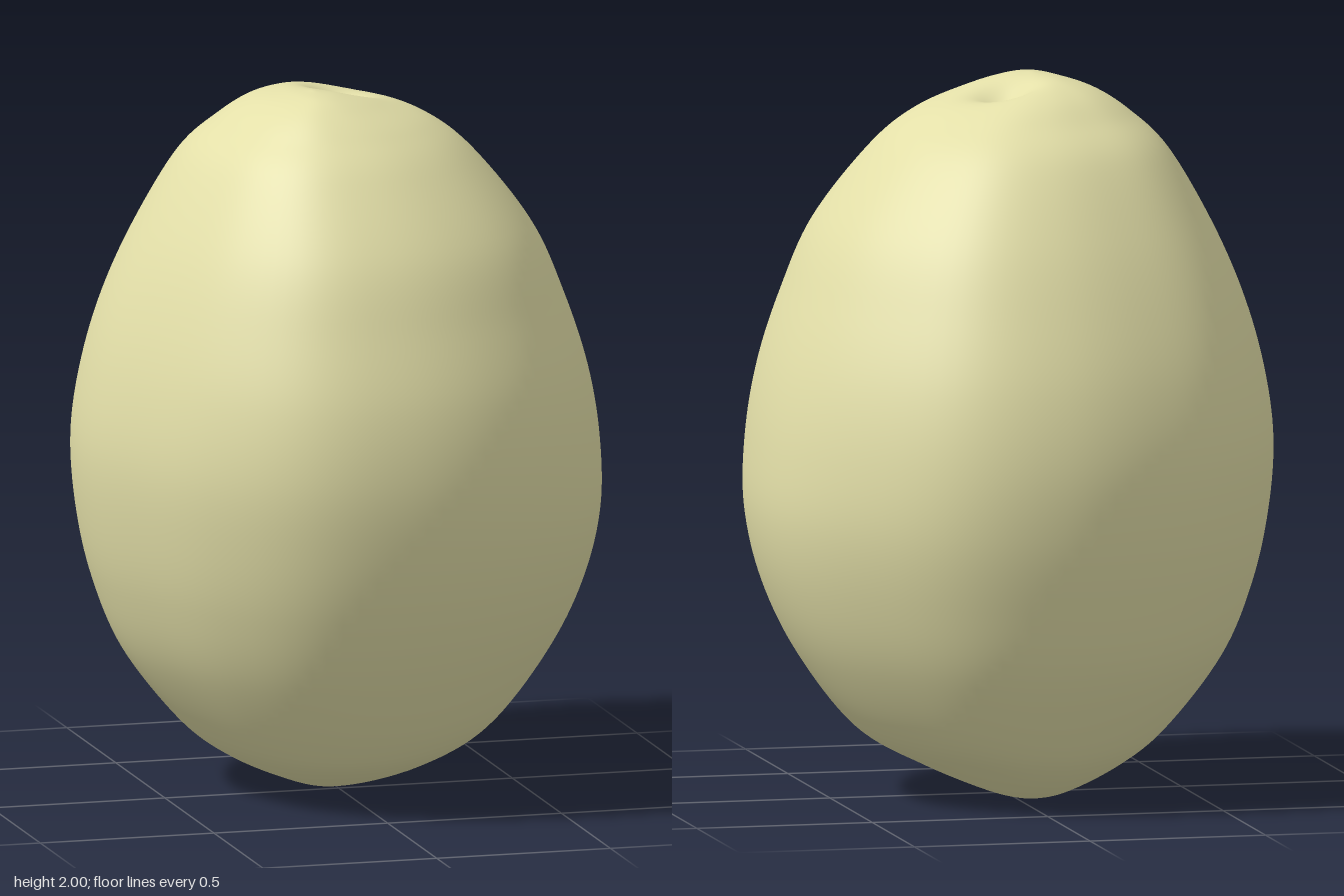
import * as THREE from 'three';

// Profile stations from base to crown: [y, xMin, xMax, zMin, zMax]
const STATIONS = [
  [0, -0.03, -0.03, -0.13, -0.13],
  [0.025, -0.14, 0.08, -0.28, 0.09],
  [0.1, -0.3, 0.26, -0.42, 0.33],
  [0.2, -0.43, 0.43, -0.515, 0.45],
  [0.4, -0.585, 0.585, -0.63, 0.58],
  [0.6, -0.67, 0.68, -0.695, 0.67],
  [0.8, -0.715, 0.725, -0.735, 0.725],
  [1.0, -0.73, 0.72, -0.742, 0.748],
  [1.2, -0.705, 0.685, -0.71, 0.73],
  [1.4, -0.65, 0.62, -0.64, 0.67],
  [1.6, -0.565, 0.53, -0.545, 0.59],
  [1.8, -0.45, 0.375, -0.41, 0.45],
  [1.9, -0.35, 0.25, -0.29, 0.35],
  [1.96, -0.26, 0.1, -0.19, 0.27],
  [1.99, -0.17, -0.02, -0.07, 0.2],
  [2.0, -0.1, -0.1, 0.1, 0.1],
];

// Gentle lumps around the body, every 22.5 degrees from +x towards +z
const LUMPS = [1, 1.003, 1.01, 1, 1, 1.018, 0.99, 0.965, 1.003, 1.02, 1.02, 0.99, 1, 1.025, 1.01, 1.02];

const curve = (points, closed = false) => new THREE.CatmullRomCurve3(points, closed, 'catmullrom', 0.5);

function fruitGeometry(rings = 120, sides = 96) {
  const xProfile = curve(STATIONS.map(([y, a, b]) => new THREE.Vector3(a, y, b)));
  const zProfile = curve(STATIONS.map(([y, , , a, b]) => new THREE.Vector3(a, y, b)));
  const lumps = curve(LUMPS.map((r) => new THREE.Vector3(r, 0, 0)), true);
  const positions = [];
  const indices = [];

  // Sunken stem dimple in the crown
  const addPoint = (x, y, z) => {
    const d2 = (x - 0.01) ** 2 + (z + 0.03) ** 2;
    const dimple = y > 1.5 ? 0.055 * Math.exp(-d2 / 0.006) : 0;
    positions.push(x, y - dimple, z);
  };

  addPoint(-0.03, 0, -0.13);
  for (let i = 1; i < rings; i++) {
    const px = xProfile.getPoint(i / rings);
    const pz = zProfile.getPoint(i / rings);
    for (let j = 0; j < sides; j++) {
      const a = (j / sides) * Math.PI * 2;
      const r = lumps.getPoint(j / sides).x / 2;
      addPoint(
        (px.x + px.z) / 2 + (px.z - px.x) * r * Math.cos(a),
        px.y,
        (pz.x + pz.z) / 2 + (pz.z - pz.x) * r * Math.sin(a),
      );
    }
  }
  addPoint(-0.1, 2, 0.1);

  // Skin between rings, with a fan at each pole
  const top = positions.length / 3 - 1;
  const at = (i, j) => 1 + (i - 1) * sides + (j % sides);
  for (let j = 0; j < sides; j++) {
    indices.push(0, at(1, j), at(1, j + 1));
    for (let i = 1; i < rings - 1; i++) {
      const [a, b, c, d] = [at(i, j), at(i, j + 1), at(i + 1, j + 1), at(i + 1, j)];
      indices.push(a, d, c, a, c, b);
    }
    indices.push(top, at(rings - 1, j + 1), at(rings - 1, j));
  }

  const geometry = new THREE.BufferGeometry();
  geometry.setAttribute('position', new THREE.Float32BufferAttribute(positions, 3));
  geometry.setIndex(indices);
  geometry.computeVertexNormals();
  return geometry;
}

export function createModel() {
  const group = new THREE.Group();
  group.name = 'fruit';
  const skin = new THREE.Mesh(fruitGeometry(), new THREE.MeshStandardMaterial({ color: 0xe3dfa8 }));
  skin.name = 'fruitSkin';
  group.add(skin);
  return group;
}
